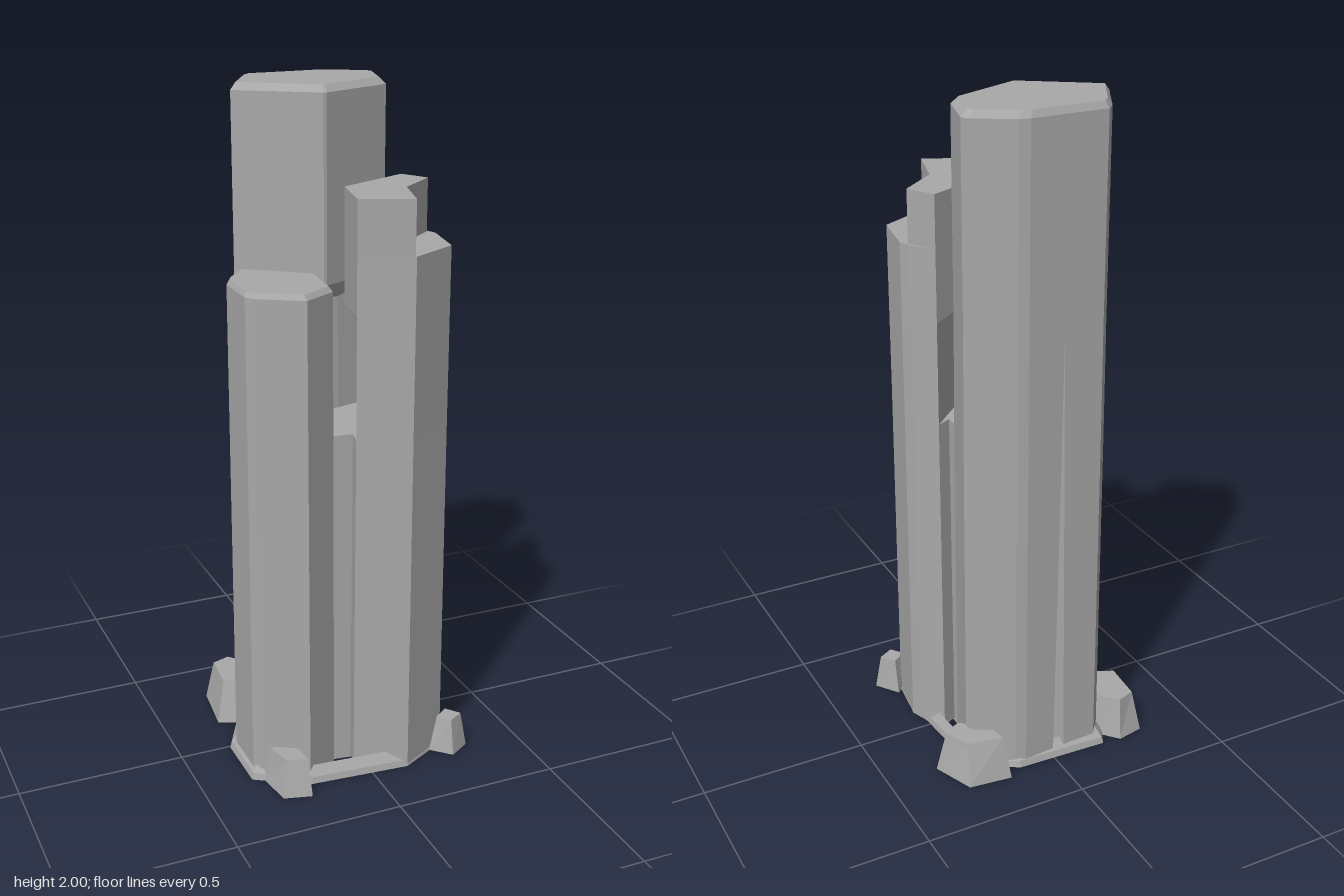
import * as THREE from 'three';

const stone = new THREE.MeshStandardMaterial({ color: 0xa9a9a9, flatShading: true, side: THREE.DoubleSide });
stone.name = 'grey stone';

// Stacks cross-sections [y, [[x, z], ...]] of equal point count, closed by caps unless open
function loft(name, sections, open = false) {
  const first = sections[0][1], n = first.length;
  const area = first.reduce((s, [x, z], i) => {
    const [x2, z2] = first[(i + 1) % n];
    return s + x * z2 - x2 * z;
  }, 0);
  const rings = sections.map(([y, pts]) => {
    const ring = pts.map(([x, z]) => [x, y, z]);
    return area < 0 ? ring.reverse() : ring;
  });
  const centre = ring => [0, 1, 2].map(k => ring.reduce((s, p) => s + p[k], 0) / n);
  const bottom = rings[0], top = rings[rings.length - 1];
  const cb = centre(bottom), ct = centre(top), pos = [];
  for (let i = 0; i < n; i++) {
    const j = (i + 1) % n;
    for (let r = 0; r < rings.length - 1; r++) {
      const lo = rings[r], hi = rings[r + 1];
      pos.push(...lo[j], ...lo[i], ...hi[i], ...lo[j], ...hi[i], ...hi[j]);
    }
    if (!open) pos.push(...cb, ...bottom[i], ...bottom[j], ...ct, ...top[j], ...top[i]);
  }
  const geo = new THREE.BufferGeometry();
  geo.setAttribute('position', new THREE.Float32BufferAttribute(pos, 3));
  geo.computeVertexNormals();
  const mesh = new THREE.Mesh(geo, stone);
  mesh.name = name;
  return mesh;
}

// Scales an outline about its own middle
function scaled(pts, s) {
  const cx = pts.reduce((a, p) => a + p[0], 0) / pts.length;
  const cz = pts.reduce((a, p) => a + p[1], 0) / pts.length;
  return pts.map(([x, z]) => [cx + (x - cx) * s, cz + (z - cz) * s]);
}

// Three points forming a V-shaped crack that narrows to nothing at height h
function crack(x, z, dx, dz, y, h) {
  const f = Math.max(0, 1 - y / h), w = 0.018 * f, d = 0.05 * f;
  return [[x - dx * w, z - dz * w], [x - dz * d, z + dx * d], [x + dx * w, z + dz * w]];
}

// Tall column outline at height y; grow widens it, chip cuts its inner corner
function tallOutline(y, grow, chip) {
  const pts = [
    [-0.25, -0.13], ...crack(-0.222, -0.181, 0.48, -0.88, y, 1.08),
    [-0.165, -0.288], [-0.14, -0.315], ...crack(-0.02, -0.315, 1, 0, y, 1.35),
    [0.09, -0.317], [0.12, -0.308], [0.232, -0.245], [0.24, -0.222], [0.2, -0.08],
    ...(chip ? [[0.03, -0.03], [-0.08, -0.02]] : [[-0.025, 0.022], [-0.035, 0.022]]),
  ];
  return scaled(pts, grow);
}

export function createModel() {
  const group = new THREE.Group();
  group.name = 'stone columns';

  // Tall back column, bevelled at the top
  group.add(loft('tallColumn', [
    [0.01, tallOutline(0.01, 1.025)], [1.05, tallOutline(1.05, 1.01)],
    [1.05, tallOutline(1.05, 1.01, true)], [1.39, tallOutline(1.39, 1, true)],
    [1.44, tallOutline(1.44, 1)], [1.98, tallOutline(1.98, 1)], [2, tallOutline(2, 0.92)],
  ]));

  // Short column with an overhanging inner lip
  const short = x => [
    [-0.25, -0.08], [x, 0.06], [-0.09, 0.215], [-0.19, 0.275],
    [-0.315, 0.2], [-0.33, 0.175], [-0.33, 0.03], [-0.315, 0.0],
  ];
  group.add(loft('shortColumn', [
    [0.01, scaled(short(-0.093), 1.02)], [1.45, short(-0.093)], [1.47, short(-0.064)],
    [1.475, short(-0.064)], [1.49, scaled(short(-0.07), 0.93)],
  ]));

  // Middle column with a stepped top and a hollow on its inner corner
  const middle = inner => [
    inner, [0.23, -0.035], [0.277, 0.035], [0.29, 0.07],
    [0.26, 0.23], [0.113, 0.313], [-0.033, 0.247],
  ];
  const upper = [
    [0.005, 0.075], [0.23, -0.035], [0.275, 0.047], [0.16, 0.147],
    [0.15, 0.18], [0.112, 0.308], [-0.033, 0.247],
  ];
  const corner = [0.005, 0.075], hollow = [0.01, 0.18];
  group.add(loft('middleColumn', [
    [0.01, scaled(middle(corner), 1.02)], [1.05, middle(corner)], [1.05, middle(hollow)],
    [1.36, middle(hollow)], [1.4, middle(corner)], [1.575, middle(corner)],
    [1.575, upper], [1.73, upper],
  ]));

  // Core filling the gaps between the columns
  const core = [[-0.2, -0.1], [0.188, -0.1], [0.188, 0.04], [0.05, 0.21], [-0.1, 0.19], [-0.2, 0.05]];
  group.add(loft('core', [[0, core], [1.05, core]]));

  // Low sloping skirt, open above and below
  const footing = [
    [-0.345, 0.005], [-0.17, -0.335], [0.115, -0.325], [0.245, -0.24], [0.265, 0.02],
    [0.285, 0.09], [0.265, 0.235], [0.113, 0.316], [-0.2, 0.292], [-0.345, 0.2],
  ];
  group.add(loft('footing', [[0, footing], [0.02, scaled(footing, 0.985)], [0.05, scaled(footing, 0.92)]], true));

  // Loose rocks around the foot: height, base outline, top outline
  const rocks = [
    [0.13,
      [[-0.33, -0.15], [-0.31, -0.325], [-0.228, -0.342], [-0.165, -0.27], [-0.24, -0.11]],
      [[-0.3, -0.175], [-0.29, -0.3], [-0.235, -0.32], [-0.185, -0.265], [-0.235, -0.145]]],
    [0.13,
      [[0.16, -0.355], [0.292, -0.34], [0.342, -0.213], [0.26, -0.155], [0.15, -0.245]],
      [[0.175, -0.325], [0.278, -0.305], [0.315, -0.227], [0.262, -0.195], [0.185, -0.25]]],
    [0.11,
      [[-0.315, 0.2], [-0.295, 0.33], [-0.213, 0.352], [-0.21, 0.22]],
      [[-0.295, 0.225], [-0.275, 0.308], [-0.215, 0.325], [-0.222, 0.23]]],
    [0.11,
      [[0.283, 0.203], [0.333, 0.274], [0.268, 0.315], [0.213, 0.26]],
      [[0.283, 0.225], [0.315, 0.267], [0.27, 0.293], [0.24, 0.255]]],
  ];
  for (const [h, base, top] of rocks) group.add(loft('looseRock', [[0, base], [h, top]]));

  return group;
}
